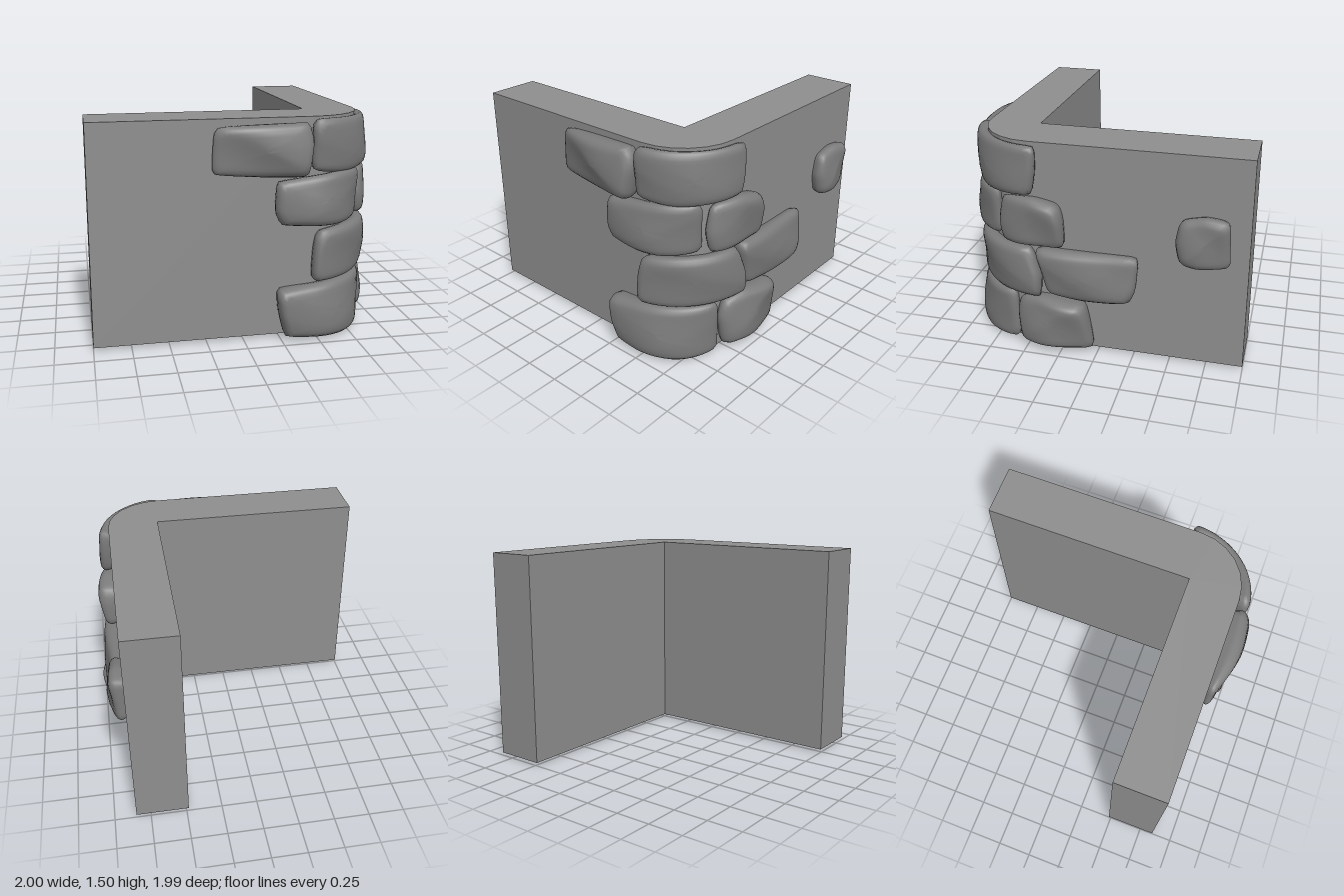
import * as THREE from 'three';

const wallMaterial = new THREE.MeshStandardMaterial({ color: 0x8e8e8e, side: THREE.DoubleSide });
const stoneMaterial = new THREE.MeshStandardMaterial({ color: 0x7b7b7b, side: THREE.DoubleSide });
const OUT = 0.85, INNER = 0.485, R = 0.4, C = OUT - R, ARC = R * Math.PI / 2;
const BOTTOM = 0.02, TOP = 1.5;

// Point on the outer wall at distance s (s = x on the front face, then round the corner), pushed out by d
function onWall(s, y, d) {
  if (s < C) return [s, y, OUT + d];
  if (s > C + ARC) return [OUT + d, y, C - (s - C - ARC)];
  const a = (s - C) / R;
  return [C + (R + d) * Math.sin(a), y, C + (R + d) * Math.cos(a)];
}

// L-shaped wall with a rounded outer corner, open underneath
function buildWall() {
  const plan = [[-1, OUT]];
  for (let i = 0; i <= 6; i++) {
    const p = onWall(C + ARC * i / 6, 0, 0);
    plan.push([p[0], p[2]]);
  }
  plan.push([OUT, -1], [INNER, -1], [INNER, INNER], [-1, INNER]);
  const group = new THREE.Group();
  group.name = 'cornerWall';

  const top = new THREE.ShapeGeometry(new THREE.Shape(plan.map(([x, z]) => new THREE.Vector2(x, -z))));
  top.rotateX(-Math.PI / 2).translate(0, TOP, 0);
  const topMesh = new THREE.Mesh(top, wallMaterial);
  topMesh.name = 'wallTop';

  const pos = [];
  plan.forEach(([x, z], i) => {
    const [u, w] = plan[(i + 1) % plan.length];
    pos.push(x, BOTTOM, z, u, BOTTOM, w, u, TOP, w, x, BOTTOM, z, u, TOP, w, x, TOP, z);
  });
  const sides = new THREE.BufferGeometry();
  sides.setAttribute('position', new THREE.Float32BufferAttribute(pos, 3));
  sides.computeVertexNormals();
  const sideMesh = new THREE.Mesh(sides, wallMaterial);
  sideMesh.name = 'wallSides';
  group.add(topMesh, sideMesh);
  return group;
}

// Four corners become a closed curve with cut corners and slightly bulging edges
function stoneOutline(corners, count, seed) {
  const points = [];
  corners.forEach(([s, y], i) => {
    const a = new THREE.Vector3(s, y, 0);
    const b = new THREE.Vector3(...corners[(i + 1) % 4], 0);
    const length = a.distanceTo(b);
    const dir = b.clone().sub(a).normalize();
    const bulge = 0.012 + 0.012 * Math.sin(seed + 2 * i);
    const middle = a.clone().lerp(b, 0.5 + 0.15 * Math.sin(3 * seed + i));
    middle.x += dir.y * bulge;
    middle.y -= dir.x * bulge;
    points.push(a.clone().addScaledVector(dir, 0.035), middle, a.clone().addScaledVector(dir, length - 0.035));
  });
  return new THREE.CatmullRomCurve3(points, true, 'catmullrom', 0.3).getSpacedPoints(count).slice(0, count);
}

// Rounded stone built up in rings; depth gives the relief at its left, middle and right
function buildStone(name, corners, depth, seed) {
  const N = 48;
  const pts = stoneOutline(corners, N, seed);
  const box = new THREE.Box3().setFromPoints(pts);
  const mid = box.getCenter(new THREE.Vector3());
  const half = box.getSize(new THREE.Vector3()).multiplyScalar(0.5);

  // Smooth swell with a slanting ridge and worn shoulders
  const relief = (s, y) => {
    const t = (s - box.min.x) / (2 * half.x), v = (y - mid.y) / half.y;
    const [l, m, r] = depth;
    const base = l * (1 - t) * (1 - 2 * t) + 4 * m * t * (1 - t) + r * t * (2 * t - 1);
    const ridge = Math.abs(v + 0.6 * Math.sin(seed + 4 * t));
    return base * (1.03 + 0.08 * Math.sin(5 * t + 2 * v + seed) - 0.13 * ridge);
  };

  // [edge inset, scale towards the centre, share of the relief]
  const rings = [[0.015, 1, -0.2], [0.002, 1, 0.3], [0, 1, 0.55], [0.01, 1, 0.8], [0.026, 1, 0.95]];
  for (let j = 0; j <= 5; j++) rings.push([0.05, 1 - j / 5, 1.01 + 0.01 * j]);

  const pos = [], index = [];
  rings.forEach(([inset, k, f], j) => {
    pts.forEach((p, i) => {
      const s = mid.x + (p.x - mid.x) * (1 - inset / half.x) * k;
      const y = mid.y + (p.y - mid.y) * (1 - inset / half.y) * k;
      pos.push(...onWall(s, y, relief(s, y) * f));
      if (j === 0) return;
      const n = (i + 1) % N, a = (j - 1) * N;
      index.push(a + i, a + n, a + N + n);
      if (k > 0) index.push(a + i, a + N + n, a + N + i);
    });
  });
  const g = new THREE.BufferGeometry();
  g.setAttribute('position', new THREE.Float32BufferAttribute(pos, 3));
  g.setIndex(index);
  g.computeVertexNormals();
  const mesh = new THREE.Mesh(g, stoneMaterial);
  mesh.name = name;
  return mesh;
}

// Stones from the ground up: name, corners in (s, y) from top left anticlockwise, relief
const STONES = [
  ['firstCourseFrontStone', [[0.21, 0.36], [0.27, 0.02], [0.96, 0.02], [0.95, 0.4]], [0.13, 0.11, 0.06]],
  ['firstCourseSideStone', [[0.99, 0.39], [0.99, 0.04], [1.51, 0.04], [1.45, 0.39]], [0.06, 0.15, 0.1]],
  ['secondCourseCornerStone', [[0.48, 0.75], [0.45, 0.4], [1.15, 0.41], [1.09, 0.77]], [0.11, 0.08, 0.11]],
  ['secondCourseSideStone', [[1.11, 0.77], [1.19, 0.43], [1.77, 0.44], [1.82, 0.77]], [0.09, 0.11, 0.1]],
  ['thirdCourseFrontStone', [[0.2, 1.09], [0.22, 0.8], [0.84, 0.8], [0.84, 1.14]], [0.09, 0.1, 0.05]],
  ['thirdCourseSideStone', [[0.89, 1.12], [0.88, 0.79], [1.32, 0.79], [1.29, 1.1]], [0.06, 0.1, 0.11]],
  ['topCourseFrontStone', [[-0.2, 1.45], [-0.22, 1.15], [0.41, 1.12], [0.42, 1.47]], [0.05, 0.12, 0.12]],
  ['topCourseCornerStone', [[0.44, 1.49], [0.44, 1.15], [1.11, 1.15], [1.14, 1.48]], [0.08, 0.07, 0.09]],
  ['looseSideStone', [[2.08, 1.08], [2.08, 0.77], [2.41, 0.77], [2.4, 1.1]], [0.08, 0.1, 0.08]],
];

export function createModel() {
  const model = new THREE.Group();
  model.name = 'stoneCornerWall';
  model.add(buildWall());
  STONES.forEach(([name, corners, depth], i) => model.add(buildStone(name, corners, depth, i * 1.7)));
  return model;
}
